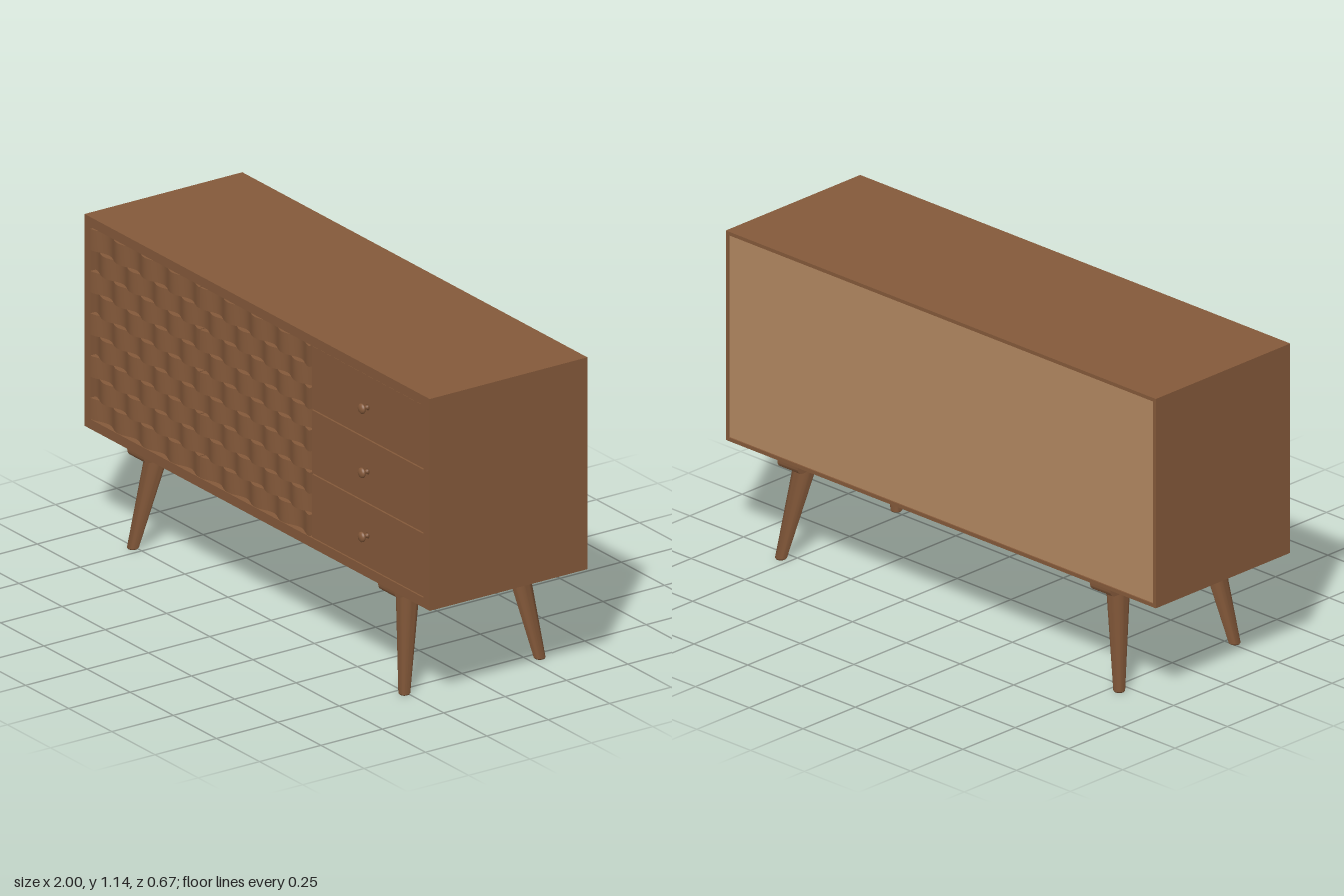
import * as THREE from 'three';
import { toCreasedNormals } from 'three/addons/utils/BufferGeometryUtils.js';

const wood = new THREE.MeshStandardMaterial({ color: 0x84593a });
wood.name = 'walnut wood';
const pale = new THREE.MeshStandardMaterial({ color: 0xb28860 });
pale.name = 'pale backing board';

const BOTTOM = 0.38, TOP = 1.142, FRONT = 0.307, BACK = -0.335;
const WALL = 0.035, IN_BOTTOM = BOTTOM + WALL, IN_TOP = TOP - WALL;

function add(parent, name, geometry, material = wood) {
  const mesh = new THREE.Mesh(geometry, material);
  mesh.name = name;
  parent.add(mesh);
  return mesh;
}

// box given by its minimum and maximum corners
function box(x0, x1, y0, y1, z0, z1) {
  return new THREE.BoxGeometry(x1 - x0, y1 - y0, z1 - z0)
    .translate((x0 + x1) / 2, (y0 + y1) / 2, (z0 + z1) / 2);
}

// rectangular tube of the cabinet's outline with an even wall
function frame(wall, z0, z1) {
  const rect = (P, m) => new P([
    new THREE.Vector2(-1 + m, BOTTOM + m), new THREE.Vector2(1 - m, BOTTOM + m),
    new THREE.Vector2(1 - m, TOP - m), new THREE.Vector2(-1 + m, TOP - m),
  ]);
  const shape = rect(THREE.Shape, 0);
  shape.holes.push(rect(THREE.Path, wall));
  return new THREE.ExtrudeGeometry(shape, { depth: z1 - z0, bevelEnabled: false }).translate(0, 0, z0);
}

// horizontal slat whose face ripples along x
function slat(x0, x1, y0, y1, phase) {
  const shape = new THREE.Shape(), steps = 48, waves = 4;
  shape.moveTo(x0, -0.265);
  for (let i = 0; i <= steps; i++) {
    const t = i / steps;
    const z = 0.3 + 0.011 * Math.cos(t * waves * Math.PI * 2 + phase);
    shape.lineTo(x0 + (x1 - x0) * t, -z);
  }
  shape.lineTo(x1, -0.265);
  const g = new THREE.ExtrudeGeometry(shape, { depth: y1 - y0, bevelEnabled: false });
  return toCreasedNormals(g.rotateX(-Math.PI / 2).translate(0, y0, 0), 0.6);
}

function door(x0, x1) {
  const group = new THREE.Group(), count = 9;
  const bottom = IN_BOTTOM + 0.004, pitch = (IN_TOP - 0.004 - bottom) / count;
  for (let i = 0; i < count; i++) {
    const y = bottom + i * pitch;
    add(group, 'rippledSlat', slat(x0, x1, y, y + pitch, i % 2 ? Math.PI : 0));
  }
  return group;
}

// rail under the cabinet, lower corners rounded
function rail() {
  const f = 0.292, b = -0.32, y0 = 0.343, r = 0.026;
  const s = new THREE.Shape();
  s.moveTo(b, BOTTOM);
  s.lineTo(b, y0 + r);
  s.quadraticCurveTo(b, y0, b + r, y0);
  s.lineTo(f - r, y0);
  s.quadraticCurveTo(f, y0, f, y0 + r);
  s.lineTo(f, BOTTOM);
  const g = new THREE.ExtrudeGeometry(s, { depth: 0.095, bevelEnabled: false, curveSegments: 8 });
  return toCreasedNormals(g.rotateY(-Math.PI / 2).translate(0.0475, 0, 0), 0.6);
}

// tapered leg, sheared so that both ends stay level
function leg(dx, dz) {
  const h = 0.345;
  const profile = [[0, 0], [0.017, 0], [0.02, 0.004], [0.04, h], [0, h]]
    .map(([r, y]) => new THREE.Vector2(r, y));
  const g = toCreasedNormals(new THREE.LatheGeometry(profile, 28), 0.5);
  const p = g.attributes.position;
  for (let i = 0; i < p.count; i++) {
    const k = 1 - p.getY(i) / h;
    p.setX(i, p.getX(i) + dx * k);
    p.setZ(i, p.getZ(i) + dz * k);
  }
  return g;
}

export function createModel() {
  const model = new THREE.Group();
  model.name = 'sideboard';

  // carcass
  add(model, 'cabinetCase', frame(WALL, -0.325, FRONT));
  add(model, 'backRim', frame(0.013, BACK, -0.325));
  add(model, 'backPanel', box(-0.987, 0.987, BOTTOM + 0.013, TOP - 0.013, -0.33, -0.32), pale);
  add(model, 'innerPanel', box(-0.965, 0.965, IN_BOTTOM, IN_TOP, 0.24, 0.265));

  // two rippled doors
  for (const [name, x0, x1] of [['rightDoor', -0.961, -0.331], ['middleDoor', -0.325, 0.307]]) {
    const d = door(x0, x1);
    d.name = name;
    model.add(d);
  }

  // three drawers with turned knobs
  const knobProfile = [[0, 0], [0.011, 0], [0.007, 0.005], [0.006, 0.013], [0.014, 0.017],
    [0.018, 0.022], [0.0175, 0.027], [0.013, 0.031], [0.006, 0.033], [0, 0.0335]]
    .map(([r, y]) => new THREE.Vector2(r, y));
  const knob = new THREE.LatheGeometry(knobProfile, 24).rotateX(Math.PI / 2);
  const step = (IN_TOP - IN_BOTTOM) / 3;
  for (let i = 0; i < 3; i++) {
    const y = IN_BOTTOM + i * step;
    add(model, 'drawerFront', box(0.314, 0.96, y + 0.003, y + step - 0.002, 0.26, 0.305));
    add(model, 'drawerKnob', knob).position.set(0.637, y + step / 2, 0.305);
  }

  // rails and splayed legs
  for (const side of [-1, 1]) {
    add(model, 'legRail', rail()).position.x = side * 0.727;
    add(model, 'frontLeg', leg(side * 0.06, 0.056)).position.set(side * 0.727, 0, 0.205);
    add(model, 'backLeg', leg(side * 0.06, -0.056)).position.set(side * 0.727, 0, -0.235);
  }
  return model;
}
